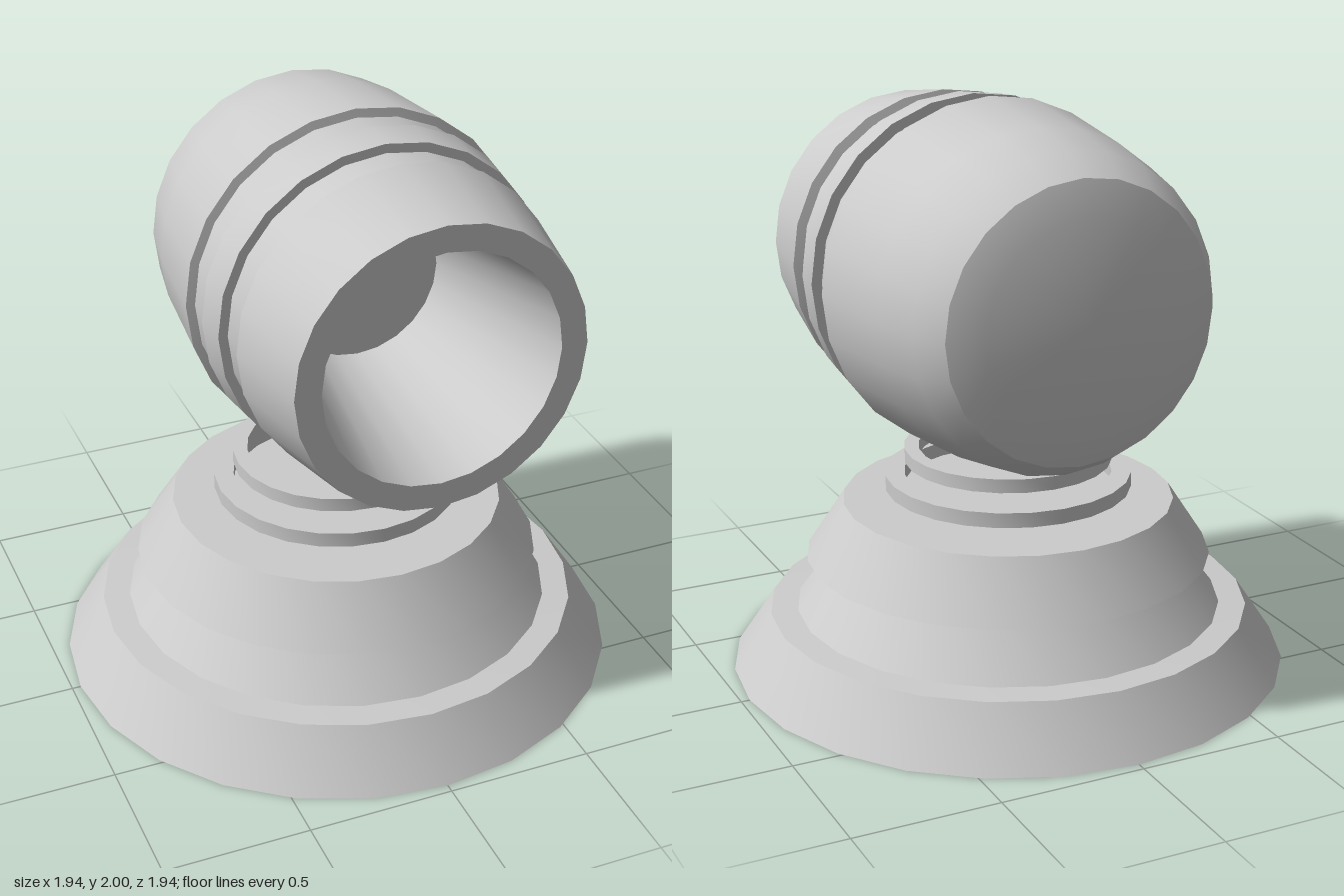
import * as THREE from 'three';
import { toCreasedNormals } from 'three/addons/utils/BufferGeometryUtils.js';

const SEGMENTS = 24;
const material = new THREE.MeshStandardMaterial({ color: 0xcccccc });

// Turned part from [radius, height] points, listed bottom to top on the outside
function turned(name, points) {
  const profile = points.map(([r, h]) => new THREE.Vector2(r, h));
  const geometry = toCreasedNormals(new THREE.LatheGeometry(profile, SEGMENTS), 0.52);
  const mesh = new THREE.Mesh(geometry, material);
  mesh.name = name;
  return mesh;
}

// Flat ring with a rectangular section
function ring(name, inner, outer, bottom, top) {
  return turned(name, [[inner, bottom], [outer, bottom], [outer, top], [inner, top], [inner, bottom]]);
}

export function createModel() {
  const model = new THREE.Group();
  model.name = 'swivelLamp';

  // Stepped pedestal
  const pedestal = new THREE.Group();
  pedestal.name = 'pedestal';
  pedestal.add(
    turned('pedestalSteps', [
      [0, 0], [0.97, 0], [0.837, 0.2], [0.743, 0.205],
      [0.605, 0.385], [0.705, 0.39], [0.575, 0.59], [0, 0.59],
    ]),
    ring('lowerCollar', 0.36, 0.428, 0.63, 0.682),
    ring('upperCollar', 0.31, 0.36, 0.727, 0.775),
  );

  // Barrel, turned about its own axis and then laid along z
  const barrel = new THREE.Group();
  barrel.name = 'barrel';
  barrel.add(
    // Rounded rear housing with a step down to the neck
    turned('rearHousing', [
      [0, -0.745], [0.348, -0.745], [0.463, -0.705], [0.526, -0.6],
      [0.563, -0.4], [0.6, -0.035], [0.57, -0.03],
    ]),
    turned('neck', [[0.57, -0.03], [0.552, 0.09], [0.543, 0.21], [0.528, 0.33]]),
    turned('band', [[0.552, 0.09], [0.588, 0.09], [0.575, 0.21], [0.543, 0.21]]),
    // Front sleeve, rim and tapered cavity down to its floor
    turned('frontSleeve', [
      [0.528, 0.33], [0.56, 0.338], [0.5, 0.68], [0.41, 0.68], [0.29, -0.01], [0, -0.01],
    ]),
  );
  barrel.rotation.x = Math.PI / 2;
  barrel.position.set(0.083, 1.4, 0);

  model.add(pedestal, barrel);
  return model;
}
